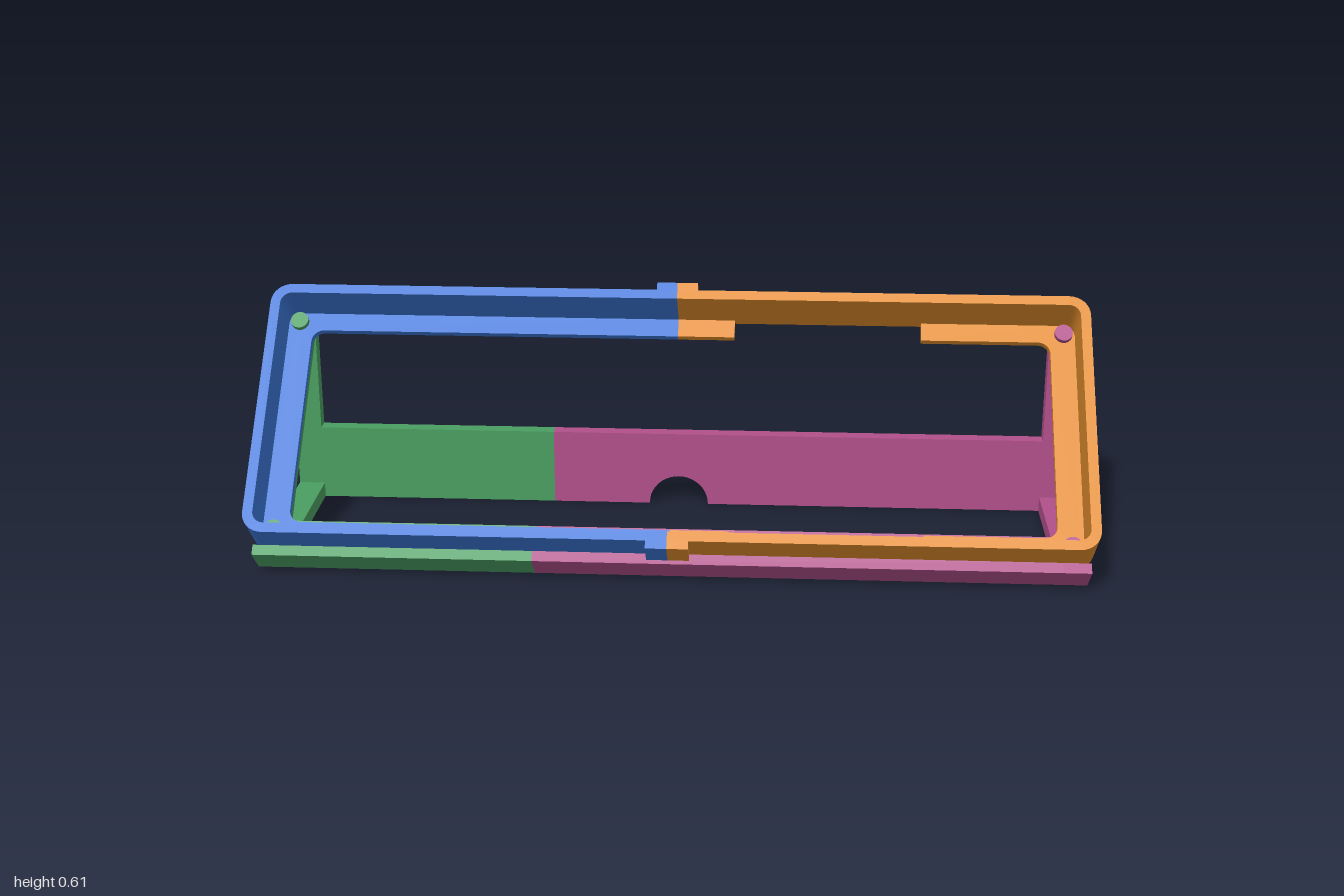
import * as THREE from 'three';
import { toCreasedNormals } from 'three/addons/utils/BufferGeometryUtils.js';

const BLUE = 0x3b76d6, ORANGE = 0xe08c2c, GREEN = 0x4a9e62, PINK = 0xb0508a;
const MID = 0.2227, BACK = 0.1626, FRONT = 0.29; // tilted frame: centre height, back and front planes
const SPLIT = -0.32, SIDE = 0.985, INNER = 0.92;

function addMesh(parent, name, geometry, color) {
  const mesh = new THREE.Mesh(geometry, new THREE.MeshStandardMaterial({ color }));
  mesh.name = name;
  parent.add(mesh);
  return mesh;
}

function extrude(shape, depth) {
  const g = new THREE.ExtrudeGeometry(shape, { depth, bevelEnabled: false, curveSegments: 10 });
  return toCreasedNormals(g, 0.6);
}

// Points of a half rounded rectangle, open at x = x0
function halfRect(x0, hx, hy, r, s) {
  const pts = [[x0, hy]];
  for (const [cy, a0] of [[hy - r, Math.PI / 2], [r - hy, 0]]) {
    for (let i = 0; i <= 8; i++) {
      const a = a0 - (i / 8) * Math.PI / 2;
      pts.push([hx - r + r * Math.cos(a), cy + r * Math.sin(a)]);
    }
  }
  pts.push([x0, -hy]);
  return pts.map(([x, y]) => new THREE.Vector2(s * x, y));
}

// C-shaped band between two half rounded rectangles
function band(x0, outer, inner, s, depth) {
  const pts = [...halfRect(x0, ...outer, s), ...halfRect(x0, ...inner, s).reverse()];
  return extrude(new THREE.Shape(pts), depth);
}

// Prism along x from a (z, y) outline
function prism(points, x0, x1, hole) {
  const toV = ([z, y]) => new THREE.Vector2(z, y);
  const shape = new THREE.Shape(points.map(toV));
  if (hole) shape.holes.push(new THREE.Path(hole.map(toV)));
  return extrude(shape, x1 - x0).rotateY(-Math.PI / 2).translate(x1, 0, 0);
}

function box(x0, x1, y0, y1, z0, z1) {
  return new THREE.BoxGeometry(Math.abs(x1 - x0), y1 - y0, z1 - z0)
    .translate((x0 + x1) / 2, (y0 + y1) / 2, (z0 + z1) / 2);
}

function frameHalf(s, color, flangeStart) {
  const half = new THREE.Group();
  half.name = s > 0 ? 'leftFrameHalf' : 'rightFrameHalf';
  const wall = addMesh(half, 'frameWall',
    band(0, [1, 0.329, 0.05], [0.976, 0.305, 0.028], s, FRONT - BACK), color);
  wall.position.z = BACK;
  const flange = addMesh(half, 'backFlange',
    band(flangeStart, [0.978, 0.307, 0.03], [0.915, 0.258, 0.03], s, 0.017), color);
  flange.position.z = BACK;
  for (const v of [1, -1]) {
    const name = v > 0 ? 'upper' : 'lower';
    const y0 = v > 0 ? 0.327 : -0.349;
    addMesh(half, name + 'JointCollar', box(0, s * 0.05, y0, y0 + 0.022, BACK, FRONT), color);
    // Short flange piece beside the joint, leaving a gap
    if (flangeStart > 0) {
      const f0 = v > 0 ? 0.258 : -0.307;
      addMesh(half, name + 'JointFlange', box(0, s * 0.14, f0, f0 + 0.049, BACK, BACK + 0.017), color);
    }
  }
  return half;
}

export function createModel() {
  const model = new THREE.Group();
  model.name = 'tiltedFrameOnStand';

  // Tilted display frame
  const tilt = new THREE.Group();
  tilt.name = 'tiltedFrame';
  tilt.rotation.x = -Math.PI / 4;
  model.add(tilt);
  const frame = new THREE.Group();
  frame.name = 'frame';
  frame.position.y = MID;
  frame.add(frameHalf(1, ORANGE, 0.6), frameHalf(-1, BLUE, 0));
  tilt.add(frame);

  // Locating pegs through the flange corners
  for (const s of [1, -1]) for (const v of [1, -1]) {
    const peg = addMesh(frame, 'peg', new THREE.CylinderGeometry(0.022, 0.022, 0.045, 20),
      s > 0 ? PINK : GREEN);
    peg.rotation.x = Math.PI / 2;
    peg.position.set(s * 0.948, v * 0.28, BACK + 0.008);
  }

  // Stand: triangular side supports with a small front hook
  const stand = new THREE.Group();
  stand.name = 'stand';
  model.add(stand);
  const outline = [[0.19, 0], [0.249, 0.057], [0.231, 0.075], [0.193, 0.037],
    [-0.278, 0.508], [-0.295, 0.49], [-0.295, 0]];
  const opening = [[0.142, 0.037], [-0.26, 0.037], [-0.26, 0.439]];
  addMesh(stand, 'leftSupport', prism(outline, INNER, SIDE, opening), PINK);
  addMesh(stand, 'rightSupport', prism(outline, -SIDE, -INNER, opening), GREEN);

  // Front ledge (L-shaped) in two colours
  const ledge = [[0.19, 0], [0.249, 0.057], [0.231, 0.075], [0.193, 0.037],
    [0.133, 0.097], [0.115, 0.079]];
  addMesh(stand, 'frontLedgeLeft', prism(ledge, SPLIT, INNER), PINK);
  addMesh(stand, 'frontLedgeRight', prism(ledge, -INNER, SPLIT), GREEN);

  // Back panel with a cable notch in its lower edge
  const panel = new THREE.Shape();
  panel.moveTo(SPLIT, 0);
  panel.lineTo(-0.075, 0);
  panel.absarc(0, 0, 0.075, Math.PI, 0, true);
  panel.lineTo(INNER, 0);
  panel.lineTo(INNER, 0.19);
  panel.lineTo(SPLIT, 0.19);
  addMesh(stand, 'backPanelLeft', extrude(panel, 0.035).translate(0, 0, -0.295), PINK);
  addMesh(stand, 'backPanelRight', box(-INNER, SPLIT, 0, 0.19, -0.295, -0.26), GREEN);

  return model;
}
